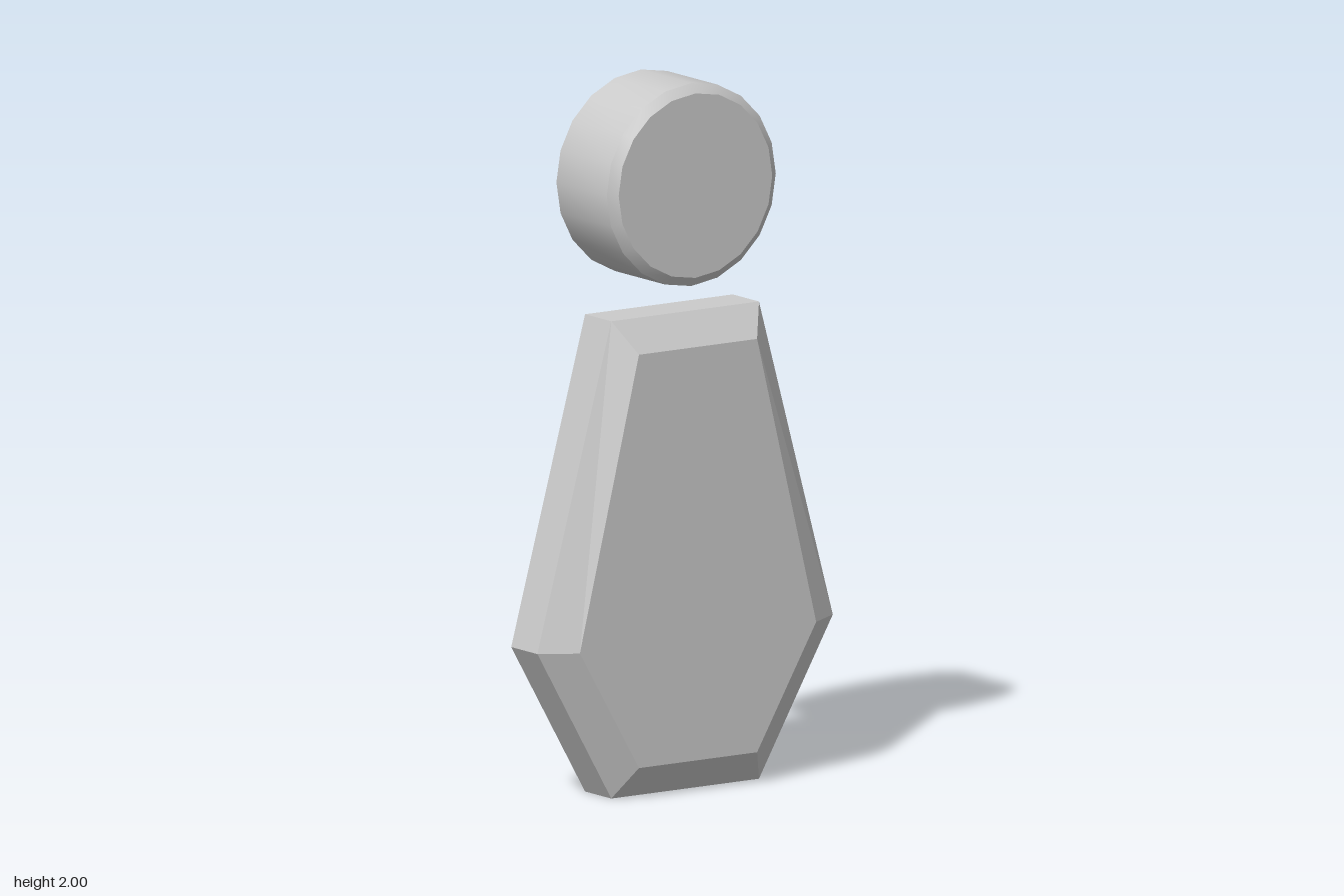
import * as THREE from 'three';
import { toCreasedNormals } from 'three/addons/utils/BufferGeometryUtils.js';

// Skin convex outlines (counter-clockwise, ordered back to front) and cap both ends
function loft(sections, creaseAngle) {
  const n = sections[0].points.length;
  const pos = [], idx = [];
  sections.forEach(({ points, z }) => points.forEach(([x, y]) => pos.push(x, y, z)));
  for (let s = 0; s < sections.length - 1; s++) {
    for (let i = 0; i < n; i++) {
      const a = s * n + i, b = s * n + (i + 1) % n;
      idx.push(a, b, b + n, a, b + n, a + n);
    }
  }
  const last = (sections.length - 1) * n;
  for (let i = 1; i < n - 1; i++) {
    idx.push(0, i + 1, i);
    idx.push(last, last + i, last + i + 1);
  }
  const geo = new THREE.BufferGeometry();
  geo.setAttribute('position', new THREE.Float32BufferAttribute(pos, 3));
  geo.setIndex(idx);
  return toCreasedNormals(geo, creaseAngle);
}

// Bevelled plate: narrow faces at +-depth, full outline between +-rim
function bevelled(face, outline, depth, rim, creaseAngle) {
  return loft([
    { points: face, z: -depth },
    { points: outline, z: -rim },
    { points: outline, z: rim },
    { points: face, z: depth },
  ], creaseAngle);
}

// Symmetric hexagon given half widths and heights from bottom to top
function hexagon(rows) {
  const right = rows.map(([w, y]) => [w, y]);
  const left = rows.map(([w, y]) => [-w, y]).reverse();
  return [...right, ...left];
}

function circle(r, sides) {
  return Array.from({ length: sides }, (_, i) => {
    const a = (i / sides) * Math.PI * 2;
    return [r * Math.cos(a), r * Math.sin(a)];
  });
}

export function createModel() {
  const group = new THREE.Group();
  const material = new THREE.MeshStandardMaterial({ color: 0xcccccc });

  // Tapered hexagonal body with bevelled faces
  const body = new THREE.Mesh(bevelled(
    hexagon([[0.2, 0.09], [0.4, 0.435], [0.2, 1.255]]),
    hexagon([[0.25, 0], [0.5, 0.435], [0.25, 1.345]]),
    0.125, 0.063, 0.05), material);
  body.name = 'body';
  group.add(body);

  // Floating disc head, slightly off centre
  const head = new THREE.Mesh(
    bevelled(circle(0.26, 20), circle(0.286, 20), 0.141, 0.121, 0.45), material);
  head.name = 'head';
  head.position.set(-0.02, 1.714, 0);
  group.add(head);

  return group;
}
